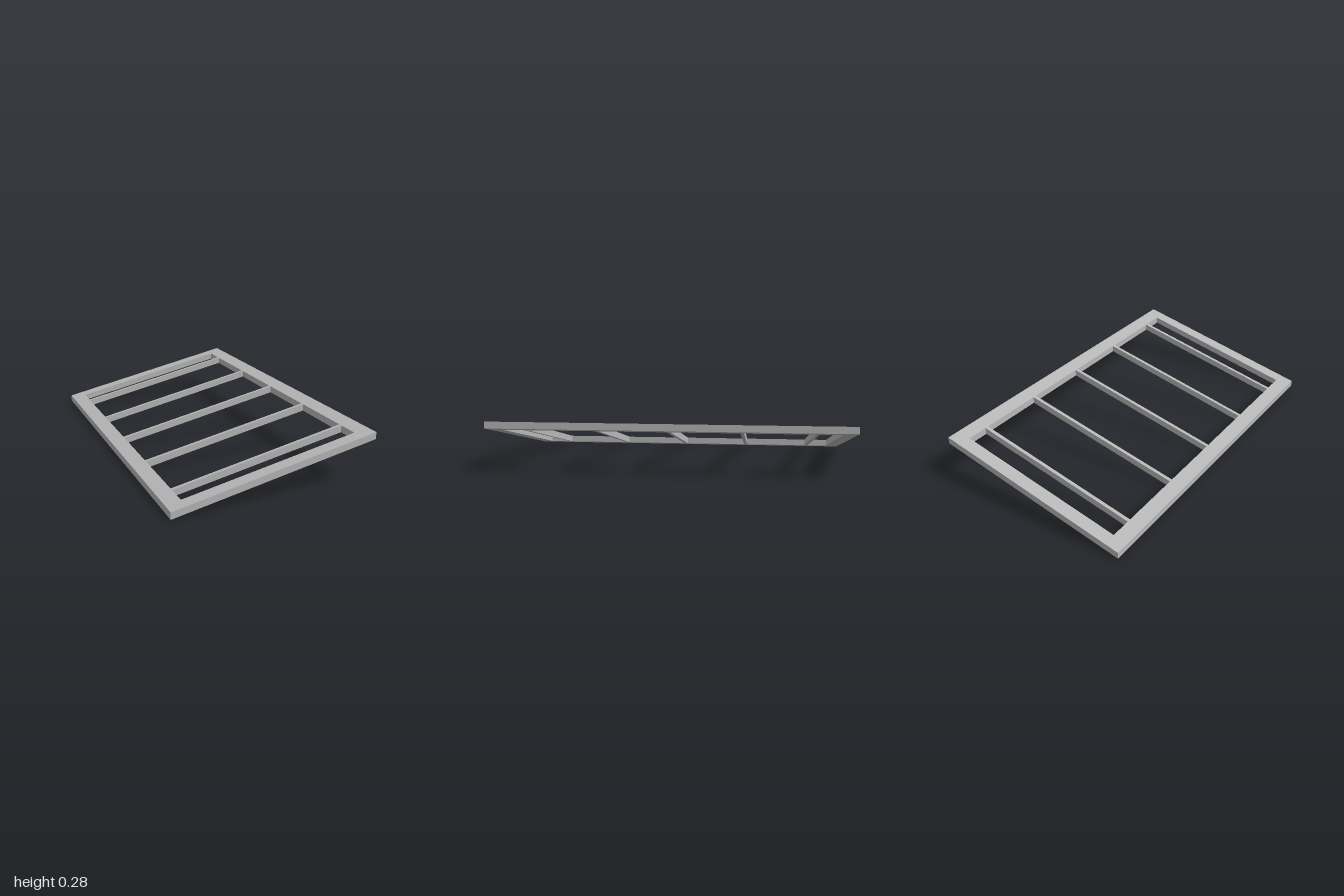
import * as THREE from 'three';

const HALF_X = 0.558, HALF_Z = 1, IN_X = 0.478, IN_Z = 0.924;
const THICK = 0.038, RISE = 0.24, SLAT = 0.02;

// Slope a flat geometry upward towards +x, keeping its ends vertical
function slope(geometry) {
  const m = new THREE.Matrix4().set(
    1, 0, 0, 0,
    RISE / (2 * HALF_X), 1, 0, RISE / 2,
    0, 0, 1, 0,
    0, 0, 0, 1);
  geometry.applyMatrix4(m);
  geometry.computeVertexNormals();
  return geometry;
}

function rectangle(path, x, z) {
  path.moveTo(-x, -z);
  path.lineTo(x, -z);
  path.lineTo(x, z);
  path.lineTo(-x, z);
  path.closePath();
  return path;
}

export function createModel() {
  const model = new THREE.Group();
  model.name = 'slopedFrame';
  const grey = new THREE.MeshStandardMaterial({ color: 0xb8b8b8 });
  grey.name = 'grey';

  // Rectangular outer frame
  const shape = rectangle(new THREE.Shape(), HALF_X, HALF_Z);
  shape.holes.push(rectangle(new THREE.Path(), IN_X, IN_Z));
  const frameGeometry = new THREE.ExtrudeGeometry(shape, { depth: THICK, bevelEnabled: false });
  frameGeometry.rotateX(-Math.PI / 2);
  const frame = new THREE.Mesh(slope(frameGeometry), grey);
  frame.name = 'outerFrame';
  model.add(frame);

  // Five slim cross slats
  for (let i = -2; i <= 2; i++) {
    const g = new THREE.BoxGeometry(2 * IN_X, THICK, SLAT);
    g.translate(0, THICK / 2, i * 0.397);
    const slat = new THREE.Mesh(slope(g), grey);
    slat.name = `crossSlat${i + 3}`;
    model.add(slat);
  }
  return model;
}
